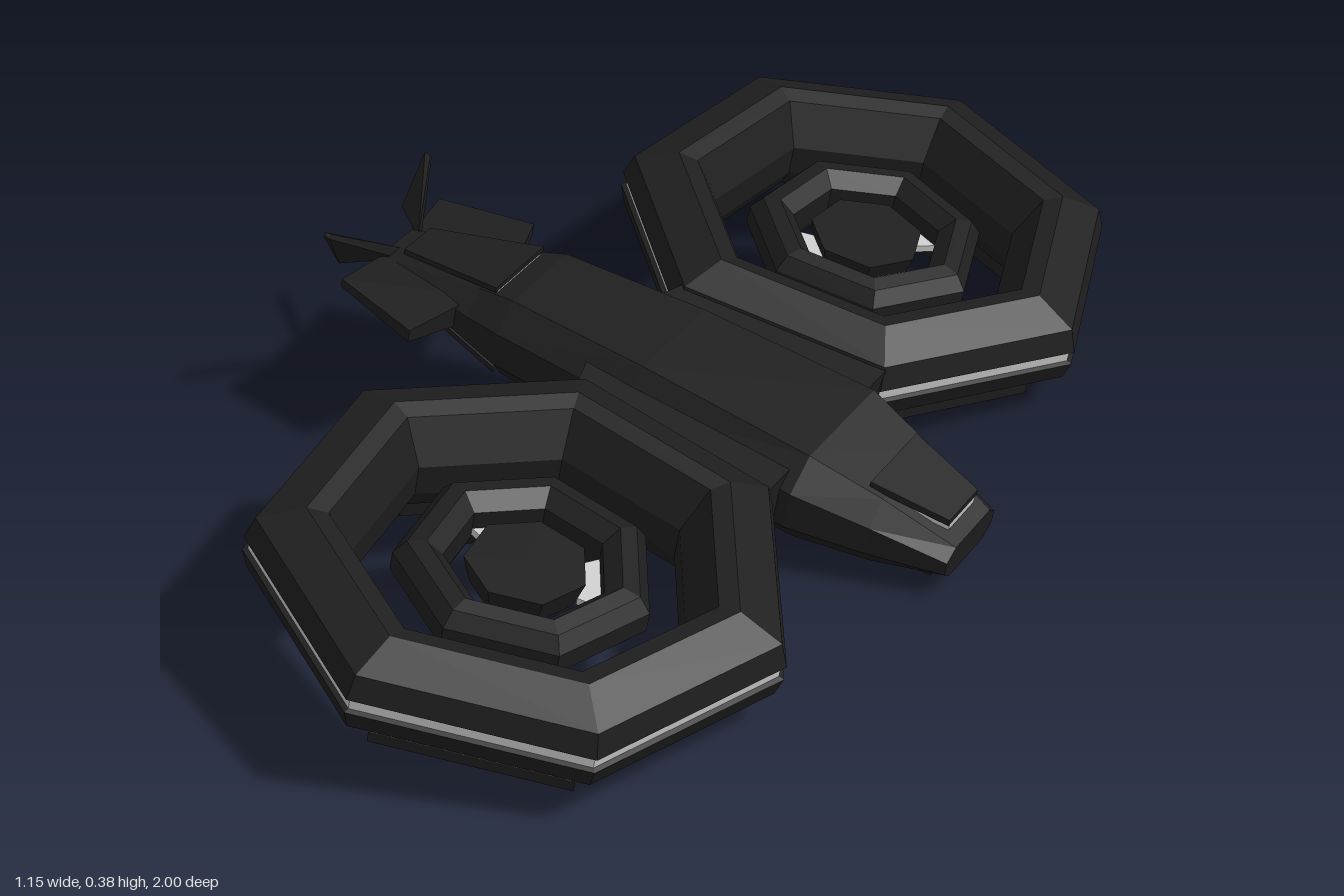
import * as THREE from 'three';

const dark = new THREE.MeshStandardMaterial({ color: 0x1e1e1e, flatShading: true });
const light = new THREE.MeshStandardMaterial({ color: 0xcccccc, flatShading: true });
const STEP = (Math.PI * 2) / 7;

function add(parent, name, geo, mat = dark) {
  const mesh = new THREE.Mesh(geo, mat);
  mesh.name = name;
  parent.add(mesh);
  return mesh;
}

// Closed solid through equal-sized rings of [x, y, z] points, faces turned outward
function loft(rings) {
  const n = rings[0].length, idx = [], p = rings.flat();
  for (let i = 0; i < rings.length - 1; i++) {
    for (let j = 0; j < n; j++) {
      const a = i * n + j, b = i * n + (j + 1) % n;
      idx.push(a, b, a + n, b, b + n, a + n);
    }
  }
  const end = (rings.length - 1) * n;
  for (let j = 1; j < n - 1; j++) idx.push(0, j + 1, j, end, end + j, end + j + 1);
  let volume = 0;
  const [a, b, c] = [0, 0, 0].map(() => new THREE.Vector3());
  for (let i = 0; i < idx.length; i += 3) {
    a.fromArray(p[idx[i]]); b.fromArray(p[idx[i + 1]]); c.fromArray(p[idx[i + 2]]);
    volume += a.dot(b.cross(c));
  }
  if (volume < 0) idx.reverse();
  const geo = new THREE.BufferGeometry();
  geo.setAttribute('position', new THREE.Float32BufferAttribute(p.flat(), 3));
  geo.setIndex(idx);
  geo.computeVertexNormals();
  return geo;
}

// Vertical prism over a plan outline of [x, z] points
function prism(points, y0, y1) {
  const shape = new THREE.Shape(points.map(([x, z]) => new THREE.Vector2(x, -z)));
  const geo = new THREE.ExtrudeGeometry(shape, { depth: y1 - y0, bevelEnabled: false });
  return geo.rotateX(-Math.PI / 2).translate(0, y0, 0);
}

// Plate across the hull: sections of [x, top, bottom, halfWidth]
const plate = (sections) => loft(sections.map(([x, t, b, w]) => [[x, t, -w], [x, t, w], [x, b, w], [x, b, -w]]));

// Seven-sided ring from a closed (radius, height) profile
function ring(profile, start) {
  const pts = [...profile, profile[0]].map(([r, y]) => new THREE.Vector2(r, y));
  return new THREE.LatheGeometry(pts, 7, start, STEP * 7);
}

function rotor(side) {
  const g = new THREE.Group();
  g.name = side > 0 ? 'leftRotor' : 'rightRotor';
  g.position.set(0.075, 0, side * 0.561);
  const start = side > 0 ? -0.1 : Math.PI + 0.1;

  add(g, 'outerRing', ring([
    [0.29, -0.08], [0.375, -0.08], [0.43, -0.04], [0.44, -0.006], [0.425, -0.002], [0.425, 0.016],
    [0.44, 0.02], [0.425, 0.06], [0.35, 0.09], [0.315, 0.083], [0.272, 0.01], [0.272, -0.045],
  ], start));
  add(g, 'lightBand', ring([[0.41, -0.004], [0.431, -0.004], [0.431, 0.017], [0.41, 0.017]], start), light);
  add(g, 'innerRing', ring([
    [0.14, -0.05], [0.185, -0.05], [0.21, -0.02], [0.21, 0.015], [0.19, 0.04],
    [0.16, 0.045], [0.132, 0.02], [0.132, -0.03],
  ], start));
  add(g, 'hub', new THREE.CylinderGeometry(0.1, 0.085, 0.05, 7, 1, false, start)).position.y = -0.005;

  // Alternate edges carry a block under the rim and a light strut at the hub
  for (const k of [0, 2, 4]) {
    const a0 = side > 0 ? start + k * STEP : start - k * STEP;
    const a1 = a0 + side * STEP;
    const at = (r, a) => [r * Math.sin(a), r * Math.cos(a)];
    const edge = (r0, r1) => [at(r0, a0), at(r1, a0), at(r1, a1), at(r0, a1)];
    add(g, 'underBlock', prism(edge(0.3, 0.37), -0.113, -0.07));
    add(g, 'blockLight', prism(edge(0.305, 0.376), -0.088, -0.078), light);
    add(g, 'hubStrut', prism(edge(0.09, 0.137), -0.025, -0.012), light);
  }
  return g;
}

export function createModel() {
  const craft = new THREE.Group();
  craft.name = 'craft';

  // Hull: [x, top, bottom, deckHalfWidth, sideHalfWidth]
  const hull = [
    [-0.53, 0.02, -0.02, 0.03, 0.055], [-0.33, 0.055, -0.06, 0.07, 0.11],
    [-0.26, 0.075, -0.08, 0.085, 0.125], [0.0, 0.085, -0.088, 0.1, 0.14],
    [0.32, 0.08, -0.09, 0.11, 0.158], [0.45, 0.045, -0.085, 0.085, 0.12],
    [0.58, 0.0, -0.06, 0.06, 0.085],
  ];
  add(craft, 'hull', loft(hull.map(([x, t, b, d, w]) => {
    const m = (t + b) / 2, h = (t - b) * 0.2;
    return [[x, t, -d], [x, t, d], [x, m + h, w], [x, m - h, w], [x, b, d], [x, b, -d], [x, m - h, -w], [x, m + h, -w]];
  })));

  // Overlapping skin plates at nose and tail with light seams below
  const plates = {
    noseTop: [[0.42, 0.062, 0.05, 0.08], [0.555, 0.037, 0.025, 0.05]],
    noseBottom: [[0.34, -0.088, -0.1, 0.06], [0.545, -0.078, -0.09, 0.045]],
    tailTop: [[-0.5, 0.033, 0.023, 0.04], [-0.3, 0.076, 0.066, 0.075]],
    tailBottom: [[-0.505, -0.042, -0.052, 0.04], [-0.28, -0.08, -0.09, 0.08]],
  };
  for (const [name, sections] of Object.entries(plates)) {
    add(craft, name + 'Plate', plate(sections));
    const shift = name.endsWith('Top') ? -0.012 : 0.011;
    add(craft, name + 'Seam', plate(sections.map(([x, t, b, w]) => [x, t + shift, b + shift, w * 0.9])), light);
  }

  for (const s of [1, -1]) {
    // Rotor and its mount on the hull
    craft.add(rotor(s));
    add(craft, 'rotorMount', prism([[-0.1, s * 0.1], [0.3, s * 0.1], [0.3, s * 0.2], [-0.07, s * 0.2]], -0.055, 0.055));
    // Level tail fin
    add(craft, 'tailFin', loft([
      [[-0.53, 0.012, s * 0.03], [-0.34, 0.03, s * 0.06], [-0.34, -0.02, s * 0.06], [-0.53, -0.012, s * 0.03]],
      [[-0.55, 0.008, s * 0.15], [-0.385, 0.012, s * 0.195], [-0.385, -0.012, s * 0.195], [-0.55, -0.008, s * 0.15]],
    ]));
    // Upswept tail fin
    add(craft, 'upperFin', loft([
      [[-0.588, 0.006, s * 0.09], [-0.51, 0.018, s * 0.02], [-0.51, 0.002, s * 0.03], [-0.588, -0.008, s * 0.1]],
      [[-0.592, 0.086, s * 0.152], [-0.58, 0.086, s * 0.15], [-0.58, 0.08, s * 0.156], [-0.592, 0.08, s * 0.156]],
    ]));
  }

  // Nose-down attitude, resting on the ground
  craft.rotation.z = -THREE.MathUtils.degToRad(10);
  const model = new THREE.Group();
  model.name = 'model';
  model.add(craft);
  model.updateMatrixWorld(true);
  craft.position.y = -new THREE.Box3().setFromObject(model, true).min.y;
  return model;
}
